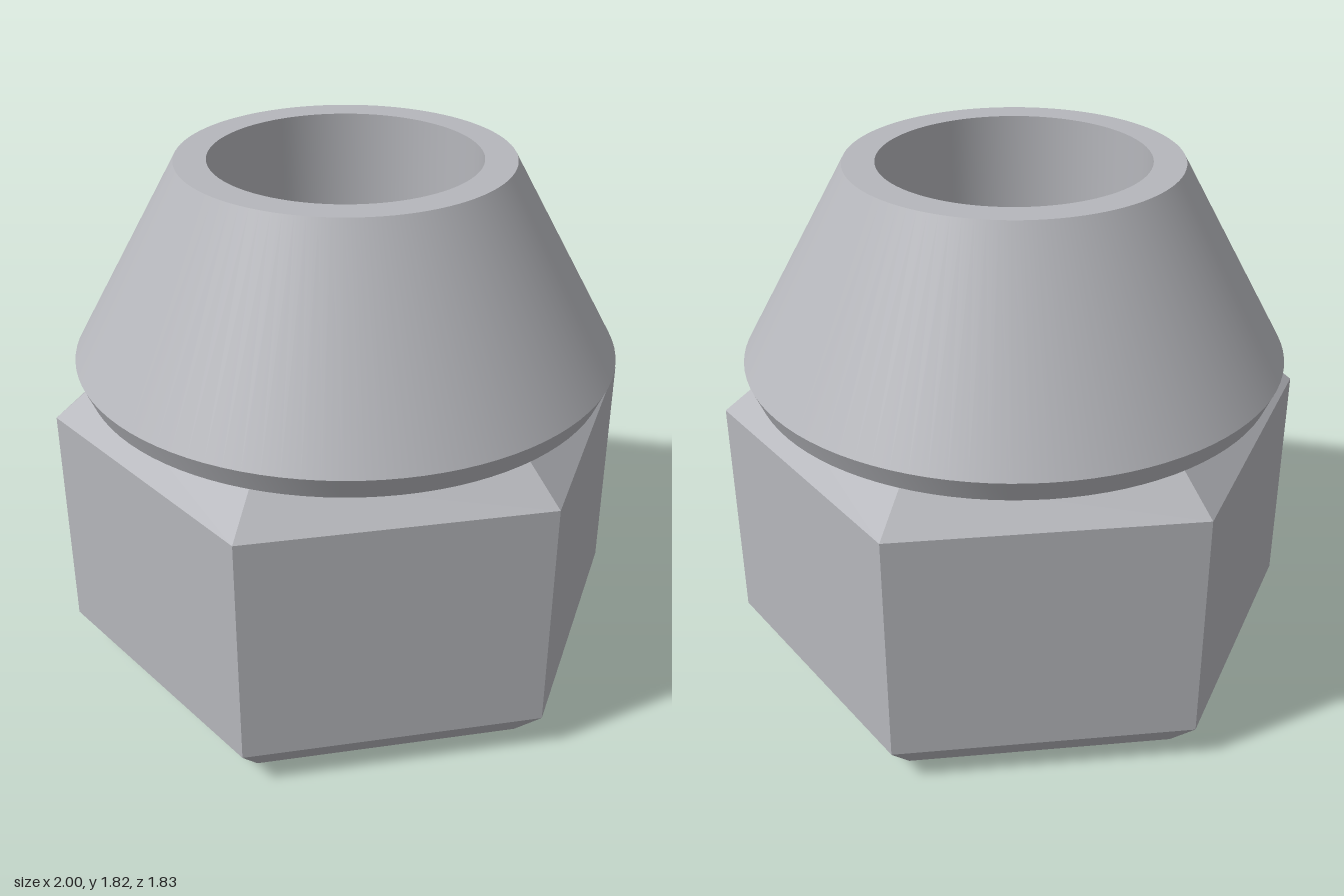
import * as THREE from 'three';
import { toCreasedNormals } from 'three/addons/utils/BufferGeometryUtils.js';

// Closed ring turned from a profile; corners start on the x axis
function ring(name, profile, sides, material) {
  const points = profile.map(([r, y]) => new THREE.Vector2(r, y));
  const turned = new THREE.LatheGeometry(points, sides, Math.PI / 2);
  const mesh = new THREE.Mesh(toCreasedNormals(turned, Math.PI / 9), material);
  mesh.name = name;
  return mesh;
}

export function createModel() {
  const model = new THREE.Group();
  model.name = 'conicalSeatNut';
  const steel = new THREE.MeshStandardMaterial({ color: 0xb6b7bc });
  steel.name = 'steel';

  // Chamfered hexagonal body with a hexagonal bore
  model.add(ring('hexBody', [
    [0.45, 0], [0.885, 0], [1, 0.127], [1, 0.95],
    [0.845, 1.08], [0.45, 1.08], [0.45, 0],
  ], 6, steel));

  // Tapered seat with a round bore
  model.add(ring('conicalSeat', [
    [0.447, 1.08], [0.885, 1.08], [0.917, 1.157],
    [0.553, 1.815], [0.447, 1.815], [0.447, 1.08],
  ], 96, steel));

  return model;
}
